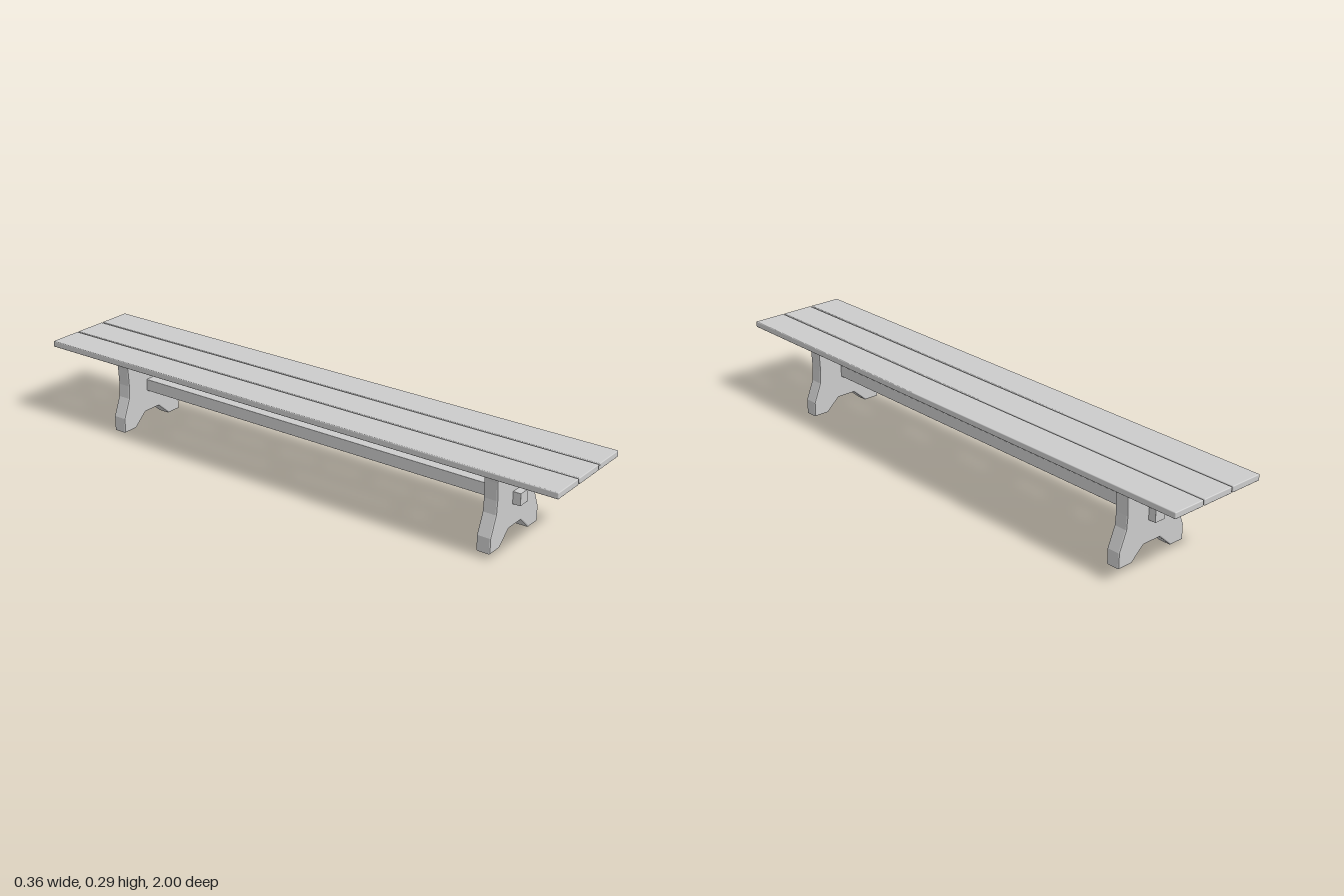
import * as THREE from 'three';
import { RoundedBoxGeometry } from 'three/addons/geometries/RoundedBoxGeometry.js';

export function createModel() {
  const bench = new THREE.Group();
  bench.name = 'bench';
  const material = new THREE.MeshStandardMaterial({ color: 0xcccccc });

  const add = (name, geometry, x, y, z) => {
    const mesh = new THREE.Mesh(geometry, material);
    mesh.name = name;
    mesh.position.set(x, y, z);
    bench.add(mesh);
  };

  // Seat: three long planks with eased edges
  const plank = new RoundedBoxGeometry(0.118, 0.021, 2, 2, 0.003);
  ['rightPlank', 'middlePlank', 'leftPlank'].forEach((name, i) =>
    add(name, plank, (i - 1) * 0.122 - 0.001, 0.2805, 0));

  // Trestle legs: half outline from arch to top, mirrored, with a bevelled rim
  const half = [
    [0.036, 0.047], [0.086, 0.002], [0.138, 0.002], [0.138, 0.052],
    [0.111, 0.119], [0.108, 0.165], [0.111, 0.225], [0.118, 0.265], [0.116, 0.271],
  ];
  const outline = [...half, ...half.map(([x, y]) => [-x, y]).reverse()];
  const shape = new THREE.Shape(outline.map(([x, y]) => new THREE.Vector2(x, y)));
  const bevel = 0.005, thickness = 0.05;
  const leg = new THREE.ExtrudeGeometry(shape, {
    depth: thickness - 2 * bevel,
    bevelThickness: bevel, bevelSize: bevel, bevelOffset: -bevel + 0.002, bevelSegments: 2,
  });
  leg.translate(0, 0, bevel - thickness / 2);
  add('frontLeg', leg, 0.002, 0, 0.74);
  add('backLeg', leg, 0.002, 0, -0.74);

  // Stretcher beam passing through both legs
  add('stretcher', new RoundedBoxGeometry(0.042, 0.042, 1.584, 1, 0.001), 0.001, 0.143, 0);

  return bench;
}
